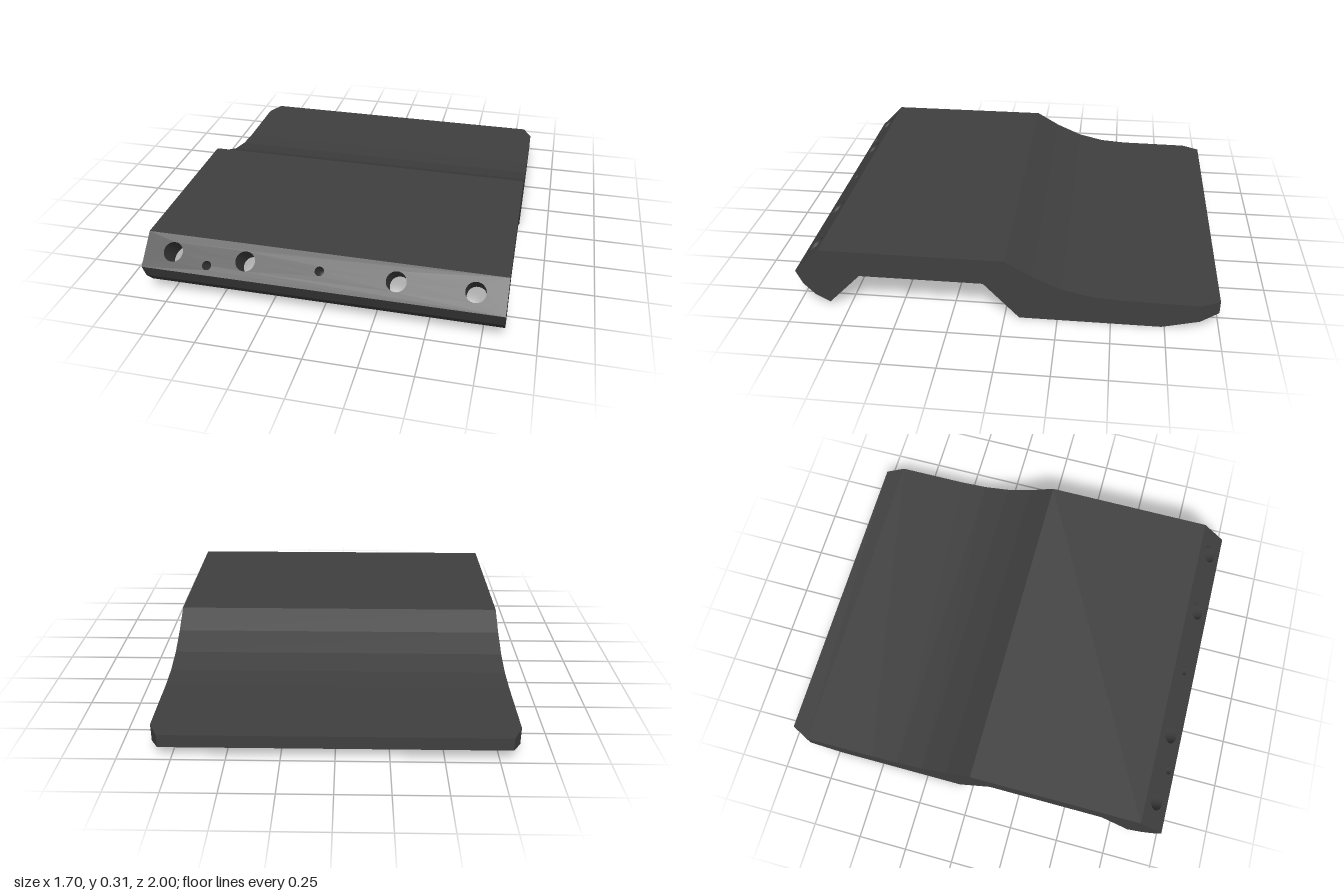
import * as THREE from 'three';

const material = new THREE.MeshStandardMaterial({ color: 0x404040 });
const holeMaterial = new THREE.MeshStandardMaterial({ color: 0x404040, side: THREE.DoubleSide });

const HALF = 0.85, RIB = 0.13;
// half width of the plate; the two rear corners are clipped
const halfWidth = z => HALF - Math.max(0, -0.91 - z) * 0.5;

// side profile as [z, y], walked front -> top -> back -> bottom
const front = [[0.845, 0.021], [0.914, 0.06], [0.968, 0.118], [1, 0.187], [0.877, 0.31]];
const top = [[0, 0.31], [-0.13, 0.235], [-0.267, 0.176], [-0.406, 0.144], [-0.545, 0.134], [-0.91, 0.131]];
const tail = [[-0.91, 0.131], [-1, 0.131], [-1, 0.067], [-0.91, 0.044]];
const bottom = [[-0.91, 0.044], [-0.737, 0], [-0.07, 0]];
const pocket = [[-0.07, 0], [0.10, 0.18], [0.69, 0.18], [0.845, 0.021]];

// bolt holes go right through, pin holes are blind
const BOLT_X = [-0.71, -0.355, 0.355, 0.71];
const BOLT_R = 0.047, BORE_R = 0.08, DEPTH = 0.2256;
const pins = [{ x: 0, t: 0.09, r: 0.022 }, { x: -0.535, t: 0.047, r: 0.022 }];
const bolts = BOLT_X.map(x => ({ x, t: 0.09, r: BOLT_R }));

export function createModel() {
  const model = new THREE.Group();

  function add(name, geometry, mat = material) {
    const mesh = new THREE.Mesh(geometry, mat);
    mesh.name = name;
    model.add(mesh);
    return mesh;
  }

  // local frame of the face running from profile point a to b
  function faceFrame(a, b) {
    const u = new THREE.Vector3(1, 0, 0);
    const v = new THREE.Vector3(0, b[1] - a[1], b[0] - a[0]).normalize();
    const n = u.clone().cross(v);
    return new THREE.Matrix4().makeBasis(u, v, n).setPosition(0, a[1], a[0]);
  }

  // flat face across the width between two profile points, with round holes
  function panel(name, a, b, left, right, holes = []) {
    const len = Math.hypot(b[0] - a[0], b[1] - a[1]);
    const shape = new THREE.Shape([
      new THREE.Vector2(left(a[0]), 0), new THREE.Vector2(right(a[0]), 0),
      new THREE.Vector2(right(b[0]), len), new THREE.Vector2(left(b[0]), len),
    ]);
    for (const h of holes) {
      shape.holes.push(new THREE.Path().absarc(h.x, h.t, h.r, 0, Math.PI * 2, true));
    }
    add(name, new THREE.ShapeGeometry(shape, 16).applyMatrix4(faceFrame(a, b)));
  }

  // a run of panels along several profile points
  function strip(name, points, left, right) {
    for (let i = 0; i + 1 < points.length; i++) panel(name, points[i], points[i + 1], left, right);
  }

  // upright wall on one side, its x given by a rule of z
  function wall(name, points, side, xOf) {
    const shape = new THREE.Shape(points.map(p => new THREE.Vector2(p[0], p[1])));
    const geometry = new THREE.ShapeGeometry(shape);
    const pos = geometry.attributes.position;
    for (let i = 0; i < pos.count; i++) {
      const z = pos.getX(i);
      pos.setXYZ(i, side * xOf(z), pos.getY(i), z);
    }
    if (side > 0) geometry.index.array.reverse();
    geometry.computeVertexNormals();
    add(name, geometry);
  }

  // full-width skin
  const wide = z => halfWidth(z), wideNeg = z => -halfWidth(z);
  strip('frontNose', front.slice(0, 4), wideNeg, wide);
  panel('frontBevel', front[3], front[4], wideNeg, wide, [...bolts, ...pins]);
  strip('topDeck', [front[4], ...top], wideNeg, wide);
  strip('rearEdge', tail, wideNeg, wide);
  strip('underside', bottom, wideNeg, wide);

  // central rib between the two underside pockets
  panel('ribBottom', pocket[0], pocket[3], () => -RIB, () => RIB);

  for (const side of [-1, 1]) {
    const left = () => (side > 0 ? RIB : -HALF), right = () => (side > 0 ? HALF : -RIB);
    wall('ribWall', pocket, side, () => RIB);
    wall('sideWall', [...front, ...top, ...bottom, ...pocket.slice(1, 3)], side, halfWidth);
    wall('rearCorner', tail, side, halfWidth);
    strip('pocketRoof', pocket.slice(0, 3), left, right);
    const bores = BOLT_X.filter(x => x * side > 0).map(x => ({ x, t: 0.121, r: BORE_R }));
    panel('pocketFrontSlope', pocket[2], pocket[3], left, right, bores);
  }

  // hole linings, turned profiles sunk square to the bevel
  const bevel = faceFrame(front[3], front[4]);
  function lining(name, h, profile) {
    const geometry = new THREE.LatheGeometry(profile.map(p => new THREE.Vector2(p[0], p[1])), 32);
    geometry.rotateX(Math.PI / 2).translate(h.x, h.t, 0).applyMatrix4(bevel);
    add(name, geometry, holeMaterial);
  }
  for (const h of bolts) {
    lining('boltHole', h, [[BOLT_R, 0], [BOLT_R, -DEPTH + 0.09]]);
    lining('counterboreSeat', h, [[BOLT_R, -DEPTH + 0.09], [BORE_R, -DEPTH + 0.09]]);
    lining('counterbore', h, [[BORE_R, -DEPTH + 0.09], [BORE_R, -DEPTH]]);
  }
  for (const h of pins) lining('pinHole', h, [[h.r, 0], [h.r, -0.1], [0, -0.1]]);

  return model;
}
